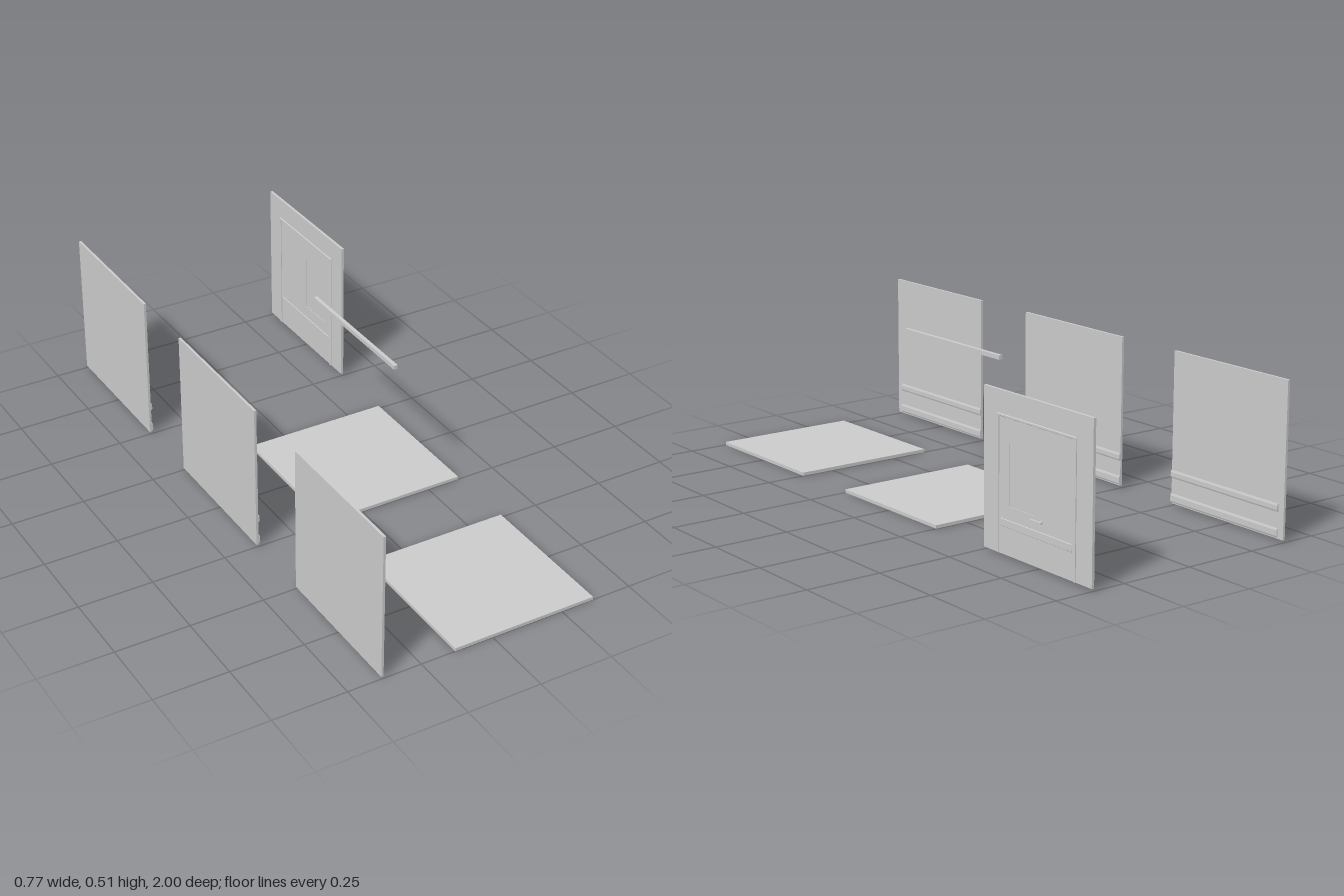
import * as THREE from 'three';

const material = new THREE.MeshStandardMaterial({ color: 0xcccccc, flatShading: true });

export function createModel() {
  const model = new THREE.Group();

  const add = (parent, name, geometry) => {
    const mesh = new THREE.Mesh(geometry, material);
    mesh.name = name;
    parent.add(mesh);
    return mesh;
  };
  const group = (name) => {
    const g = new THREE.Group();
    g.name = name;
    model.add(g);
    return g;
  };
  // box given by its lower and upper bounds
  const box = (parent, name, x0, x1, y0, y1, z0, z1) =>
    add(parent, name, new THREE.BoxGeometry(x1 - x0, y1 - y0, z1 - z0))
      .position.set((x0 + x1) / 2, (y0 + y1) / 2, (z0 + z1) / 2);
  const shapeOf = (points) => new THREE.Shape(points.map(([a, b]) => new THREE.Vector2(a, b)));
  const rect = (a0, a1, b0, b1) => [[a0, b0], [a1, b0], [a1, b1], [a0, b1]];
  // plate lying in the y-z plane; shape x runs towards -z
  const plate = (parent, name, shape, x0, x1, bevel = 0) => {
    const g = new THREE.ExtrudeGeometry(shape, {
      depth: x1 - x0 - 2 * bevel, bevelEnabled: bevel > 0, bevelSize: bevel,
      bevelThickness: bevel, bevelOffset: -bevel, bevelSegments: 1,
    });
    g.rotateY(Math.PI / 2);
    g.translate(x0 + bevel, 0, 0);
    return add(parent, name, g);
  };

  // floor tiles and ceiling beam
  for (const z of [0, 0.75]) box(model, 'floorTile', -0.132, 0.365, 0, 0.011, z - 0.25, z + 0.25);
  box(model, 'ceilingBeam', 0.109, 0.122, 0.499, 0.513, -0.25, 0.25);

  // wall panels with a chamfered skirting and a chair rail on the inner side
  const railShape = (y0, y1) => shapeOf([
    [-0.380, y0], [-0.376, y0], [-0.374, y0 + 0.005],
    [-0.374, y1 - 0.006], [-0.376, y1], [-0.380, y1],
  ]);
  const panels = [
    { name: 'frontCornerWall', z: [0.5, 1], rail: [0.5, 0.977] },
    { name: 'straightWall', z: [-0.25, 0.25], rail: [-0.25, 0.25] },
    { name: 'backCornerWall', z: [-1, -0.5], rail: [-0.977, -0.5] },
  ];
  for (const { name, z, rail } of panels) {
    const wall = group(name);
    box(wall, 'wallPanel', -0.387, -0.379, 0.008, 0.505, z[0], z[1]);
    for (const [part, y0, y1] of [['skirting', 0.012, 0.041], ['chairRail', 0.093, 0.118]]) {
      const g = new THREE.ExtrudeGeometry(railShape(y0, y1), { depth: rail[1] - rail[0], bevelEnabled: false });
      add(wall, part, g).position.z = rail[0];
    }
  }

  // door wall: panel with doorway
  const door = group('doorWall');
  const arch = (a0, a1, top) => [[a0, 0.008], [a0, top], [a1, top], [a1, 0.008]];
  plate(door, 'doorwayPanel', shapeOf([
    [0.5, 0.008], ...arch(0.57, 0.925, 0.432), [1, 0.008], [1, 0.505], [0.5, 0.505],
  ]), 0.362, 0.371);

  // raised trim around the doorway
  plate(door, 'doorTrim', shapeOf([
    ...arch(0.566, 0.929, 0.435), ...arch(0.574, 0.921, 0.427).reverse(),
  ]), 0.358, 0.375, 0.0012);

  // door leaf with a shallow recessed panel on both faces
  const leaf = shapeOf(rect(0.573, 0.922, 0.008, 0.428));
  leaf.holes.push(new THREE.Path(rect(0.62, 0.745, 0.16, 0.35).map(([a, b]) => new THREE.Vector2(a, b))));
  plate(door, 'doorLeaf', leaf, 0.362, 0.371);
  box(door, 'recessedPanel', 0.364, 0.369, 0.155, 0.355, -0.75, -0.615);

  // kick strip through the leaf, standing proud on both faces
  plate(door, 'kickStrip', shapeOf(rect(0.583, 0.912, 0.094, 0.118)), 0.3595, 0.3735, 0.0012);

  // lever handle
  const handle = group('doorHandle');
  const rod = (name, radius, x0, x1) => {
    const mesh = add(handle, name, new THREE.CylinderGeometry(radius, radius, x1 - x0, 12));
    mesh.rotation.z = Math.PI / 2;
    mesh.position.set((x0 + x1) / 2, 0.149, -0.77);
  };
  rod('handleRose', 0.0075, 0.37, 0.374);
  rod('handleStem', 0.003, 0.37, 0.384);
  box(handle, 'handleLever', 0.379, 0.385, 0.146, 0.152, -0.785, -0.735);

  return model;
}
